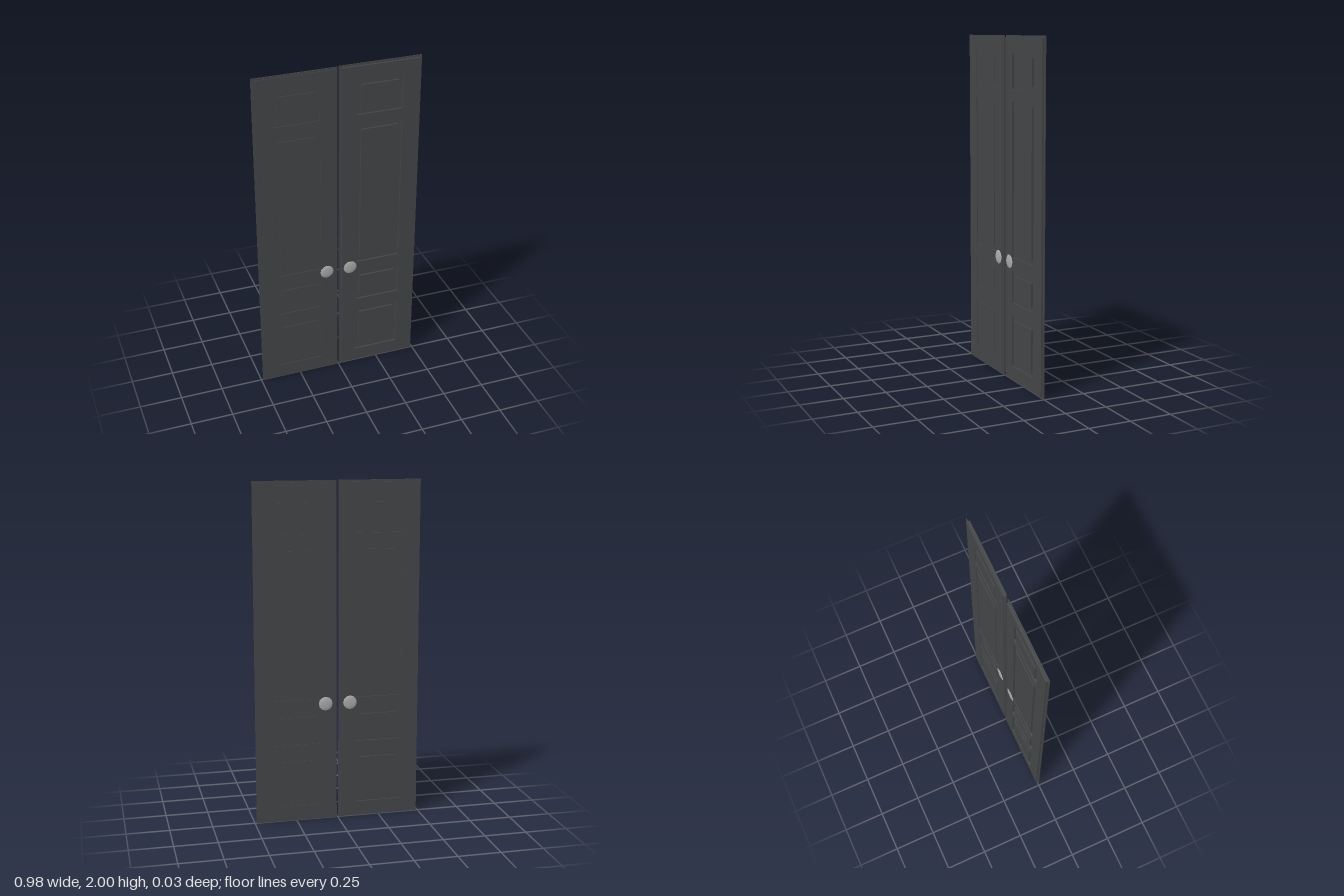
import * as THREE from 'three';

const doorMaterial = new THREE.MeshStandardMaterial({ color: 0x444547 });
const knobMaterial = new THREE.MeshStandardMaterial({ color: 0xaaaaaa });

// Bottom and top of each panel
const PANELS = [[0.09, 0.39], [0.467, 0.655], [0.735, 1.63], [1.70, 1.90]];
const PANEL_X = [0.109, 0.38];
const INSET = 0.024;

function mesh(name, geometry, material) {
  const m = new THREE.Mesh(geometry, material);
  m.name = name;
  return m;
}

function box(name, x0, x1, y0, y1, z0, z1) {
  const m = mesh(name, new THREE.BoxGeometry(x1 - x0, y1 - y0, z1 - z0), doorMaterial);
  m.position.set((x0 + x1) / 2, (y0 + y1) / 2, (z0 + z1) / 2);
  return m;
}

function trace(path, x0, x1, y0, y1) {
  path.moveTo(x0, y0);
  path.lineTo(x1, y0);
  path.lineTo(x1, y1);
  path.lineTo(x0, y1);
  path.closePath();
  return path;
}

// Frame plate with panel openings, and a raised field inside each opening
function facing(name, z0, z1) {
  const group = new THREE.Group();
  group.name = name;
  const shape = trace(new THREE.Shape(), 0.02, 0.478, 0.012, 1.988);
  for (const [y0, y1] of PANELS) {
    shape.holes.push(trace(new THREE.Path(), PANEL_X[0], PANEL_X[1], y0, y1));
    group.add(box('raisedPanel', PANEL_X[0] + INSET, PANEL_X[1] - INSET,
      y0 + INSET, y1 - INSET, z0, z1));
  }
  const frame = mesh('frame', new THREE.ExtrudeGeometry(shape,
    { depth: z1 - z0, bevelEnabled: false }), doorMaterial);
  frame.position.z = z0;
  group.add(frame);
  return group;
}

function createDoor(name) {
  const door = new THREE.Group();
  door.name = name;
  // Thin core, set off centre, with a thick and a thin facing
  door.add(box('core', 0.006, 0.49, 0, 2, -0.006, -0.001));
  door.add(facing('thickFacing', -0.001, 0.01));
  door.add(facing('thinFacing', -0.01, -0.006));

  // Flattened round knob passing through the door
  const profile = [[0, -0.016], [0.02, -0.0155], [0.036, -0.013], [0.045, -0.008], [0.048, 0],
    [0.045, 0.008], [0.036, 0.013], [0.02, 0.0155], [0, 0.016]]
    .map(([r, y]) => new THREE.Vector2(r, y));
  const knob = mesh('knob', new THREE.LatheGeometry(profile, 12), knobMaterial);
  knob.rotation.x = Math.PI / 2;
  knob.position.set(0.073, 0.706, 0);
  door.add(knob);
  return door;
}

export function createModel() {
  const model = new THREE.Group();
  model.name = 'doubleDoor';
  const left = createDoor('leftDoor');
  const right = createDoor('rightDoor');
  right.rotation.y = Math.PI;
  model.add(left, right);
  return model;
}
